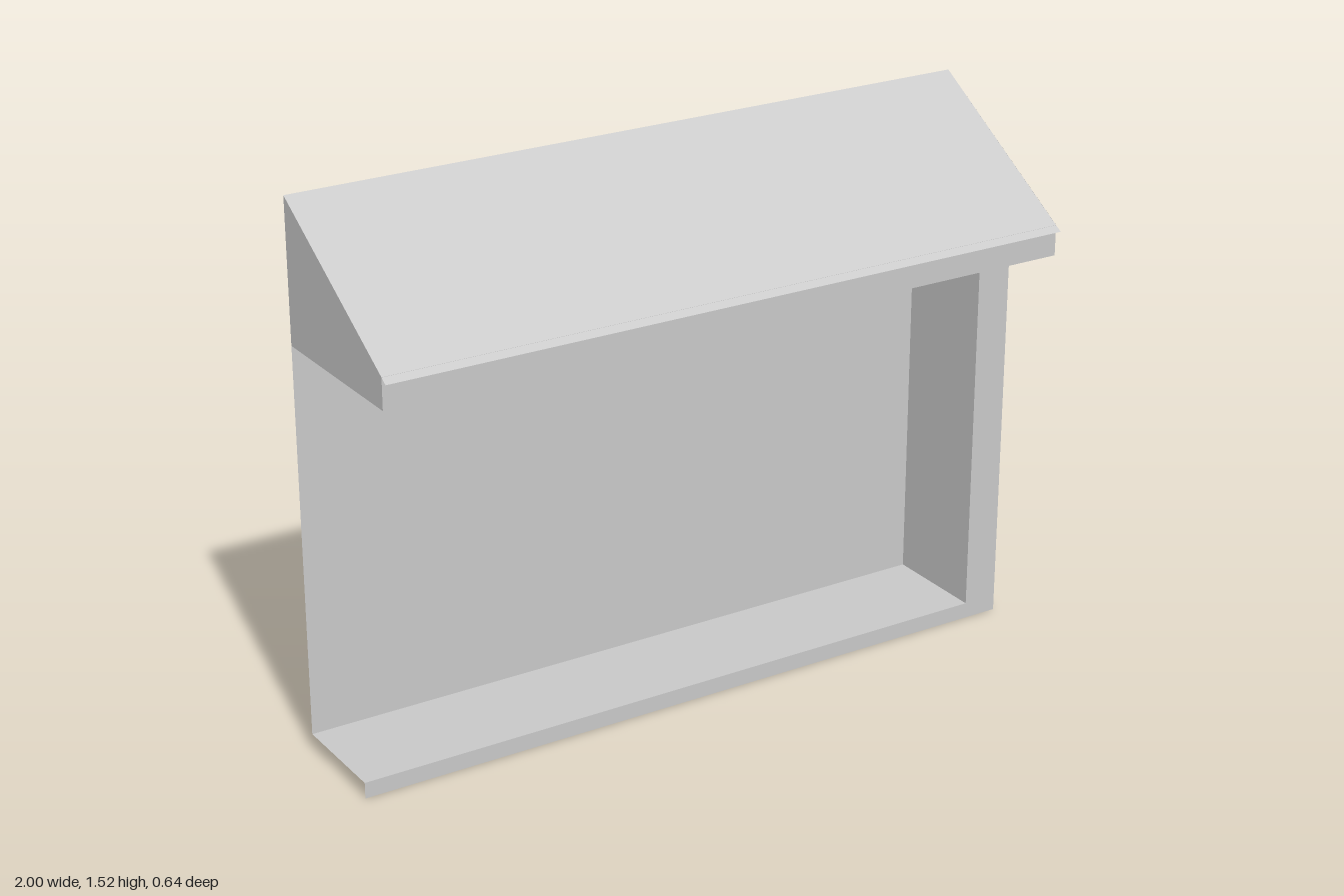
import * as THREE from 'three';

const grey = new THREE.MeshStandardMaterial({ color: 0xc8c8c8, side: THREE.DoubleSide });
grey.name = 'plain grey';

// Flat sheet at a fixed offset on one axis.
// Corners are (z, y) for axis x, (x, z) for axis y and (x, y) for axis z.
function sheet(name, axis, offset, corners) {
  const geo = new THREE.ShapeGeometry(new THREE.Shape(corners.map(([u, v]) => new THREE.Vector2(u, v))));
  if (axis === 'x') geo.rotateY(-Math.PI / 2);
  if (axis === 'y') geo.rotateX(Math.PI / 2);
  const mesh = new THREE.Mesh(geo, grey);
  mesh.name = name;
  mesh.position[axis] = offset;
  return mesh;
}
const rect = (u0, v0, u1, v1) => [[u0, v0], [u1, v0], [u1, v1], [u0, v1]];

export function createModel() {
  const model = new THREE.Group();
  model.name = 'wallSection';

  // Main levels
  const back = -0.19, front = 0.11, eave = 0.3, boxBack = -0.32;
  const floor = 0.045, ceiling = 1.13, eaveTop = 1.215, ridge = 1.52;
  const inner = 0.9;

  // Recessed wall, floor ledge and the hollow pier at the left end
  model.add(
    sheet('backWall', 'z', back, rect(-1, floor, inner, ceiling)),
    sheet('floorLedge', 'y', floor, rect(-1, back, inner, front)),
    sheet('frontTrim', 'z', front, [[-1, 0], [1, 0], [1, ceiling], [inner, ceiling], [inner, floor], [-1, floor]]),
    sheet('pierInnerWall', 'x', inner, rect(back, floor, front, ceiling)),
  );

  // Ends: full-height wall on the left, gable only on the right
  model.add(
    sheet('leftEndWall', 'x', 1, [[back, floor], [front, floor], [front, ceiling], [eave, ceiling], [eave, eaveTop], [back, ridge]]),
    sheet('rightGable', 'x', -1, [[back, ceiling], [eave, ceiling], [eave, eaveTop], [back, ridge]]),
  );

  // Ceiling with soffit, and the eave board
  model.add(
    sheet('ceiling', 'y', ceiling, [[-1, back], [inner, back], [inner, front], [1, front], [1, eave], [-1, eave]]),
    sheet('eaveBoard', 'z', eave, rect(-1, ceiling, 1, eaveTop)),
  );

  // Single sloping roof, slightly past the eave board
  const drop = ridge - 1.202, run = 0.32 - back;
  const roof = new THREE.Mesh(new THREE.PlaneGeometry(2, Math.hypot(drop, run)), grey);
  roof.name = 'roof';
  roof.rotation.x = -Math.atan2(run, drop);
  roof.position.set(0, ridge - drop / 2, back + run / 2);
  model.add(roof);

  // Stepped box on the back
  const x0 = -0.01, step = 0.43, low = 0.515, high = 0.66;
  const box = new THREE.Group();
  box.name = 'backBox';
  box.add(
    sheet('boxBackFace', 'z', boxBack, [[x0, high], [step, high], [step, low], [inner, low], [inner, ceiling], [x0, ceiling]]),
    sheet('boxTop', 'y', ceiling, rect(x0, boxBack, inner, back)),
    sheet('boxLowBottom', 'y', low, rect(step, boxBack, inner, back)),
    sheet('boxHighBottom', 'y', high, rect(x0, boxBack, step, back)),
    sheet('boxLeftSide', 'x', inner, rect(boxBack, low, back, ceiling)),
    sheet('boxStepSide', 'x', step, rect(boxBack, low, back, high)),
    sheet('boxRightSide', 'x', x0, rect(boxBack, high, back, ceiling)),
  );
  model.add(box);
  return model;
}
